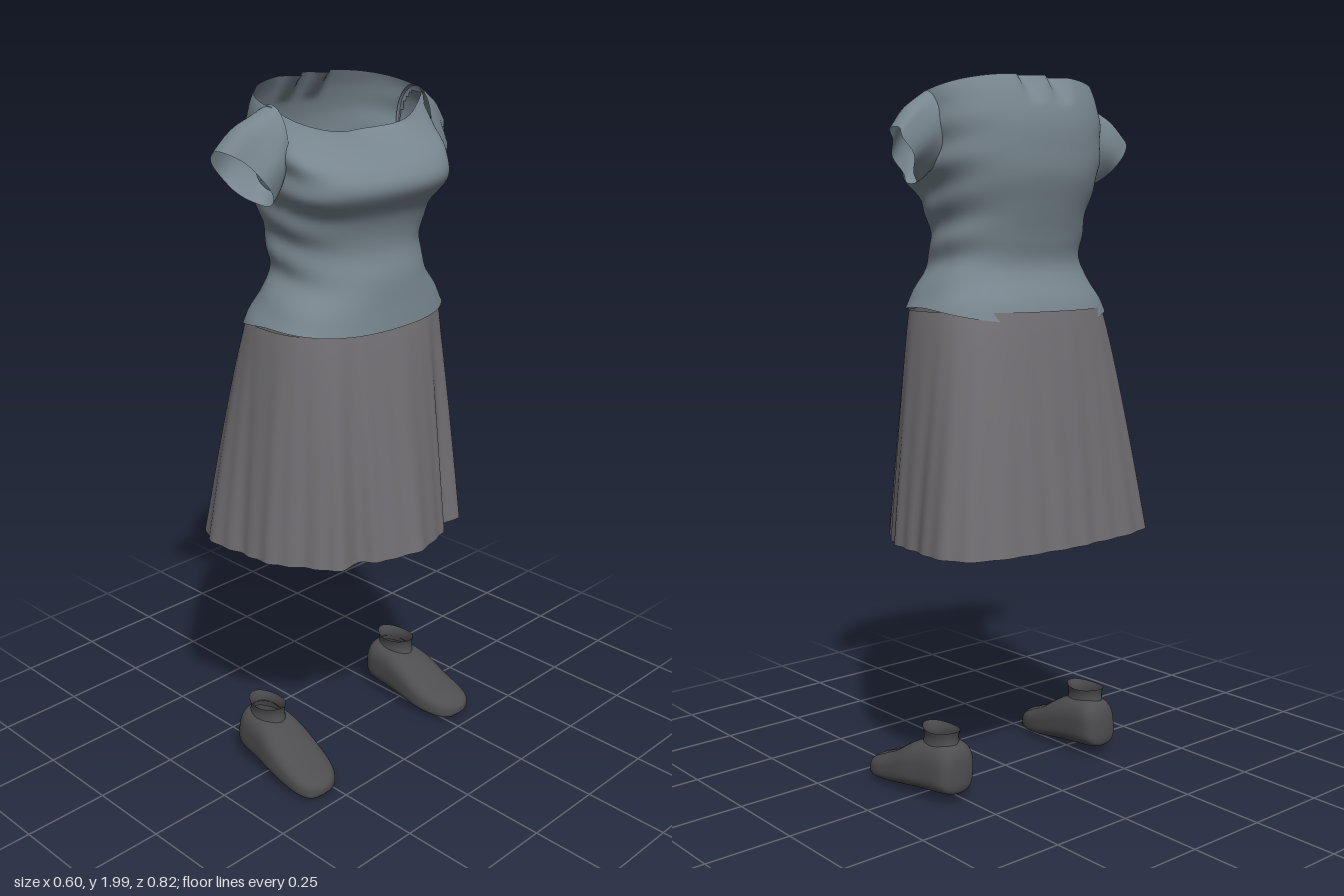
import * as THREE from 'three';

const mat = (name, color) => {
  const m = new THREE.MeshStandardMaterial({ color, side: THREE.DoubleSide });
  m.name = name;
  return m;
};

// Skins a list of closed rings; skip(centre) leaves out a quad to make a hole.
function loft(rings, skip) {
  const n = rings[0].length, pos = [], idx = [];
  rings.forEach(r => r.forEach(p => pos.push(p.x, p.y, p.z)));
  for (let i = 0; i < rings.length - 1; i++) {
    for (let j = 0; j < n; j++) {
      const k = (j + 1) % n, a = i * n + j, b = i * n + k, c = a + n, d = b + n;
      if (skip) {
        const mid = rings[i][j].clone().add(rings[i + 1][k]).multiplyScalar(0.5);
        if (skip(mid)) continue;
      }
      idx.push(a, c, b, b, c, d);
    }
  }
  const g = new THREE.BufferGeometry();
  g.setAttribute('position', new THREE.Float32BufferAttribute(pos, 3));
  g.setIndex(idx);
  g.computeVertexNormals();
  return g;
}

// Smoothly resamples a table of section rows to count + 1 rows.
function resample(rows, count) {
  return Array.from({ length: count + 1 }, (_, i) => {
    const f = i / count * (rows.length - 1), k = Math.min(Math.floor(f), rows.length - 2), t = f - k;
    const at = q => rows[Math.max(0, Math.min(rows.length - 1, q))];
    return rows[k].map((v, c) => {
      const p0 = at(k - 1)[c], p2 = at(k + 1)[c], p3 = at(k + 2)[c];
      return v + 0.5 * t * (p2 - p0 + t * (2 * p0 - 5 * v + 4 * p2 - p3 + t * (3 * (v - p2) + p3 - p0)));
    });
  });
}

const ring = (n, fn) => Array.from({ length: n }, (_, j) => fn(j / n * Math.PI * 2));
const pw = (v, e) => Math.sign(v) * Math.pow(Math.abs(v), e);

// Bodice: front y, side y, back y, front x, back x, half width, front roundness
const BODICE = [
  [1.355, 1.375, 1.335, 0.203, -0.215, 0.298, 0.75],
  [1.410, 1.410, 1.390, 0.196, -0.198, 0.278, 0.80],
  [1.490, 1.490, 1.480, 0.186, -0.155, 0.230, 0.92],
  [1.570, 1.570, 1.560, 0.165, -0.165, 0.228, 0.95],
  [1.655, 1.650, 1.650, 0.180, -0.188, 0.240, 0.75],
  [1.735, 1.730, 1.730, 0.228, -0.208, 0.268, 0.52],
  [1.790, 1.795, 1.800, 0.200, -0.210, 0.280, 0.52],
  [1.830, 1.855, 1.870, 0.132, -0.205, 0.286, 0.58],
  [1.858, 1.910, 1.940, 0.085, -0.185, 0.286, 0.62],
  [1.870, 1.950, 1.995, 0.062, -0.160, 0.276, 0.62],
];

function bodice() {
  const rings = resample(BODICE, 63).map(([yf, ys, yb, xf, xb, w, e], i) => ring(160, a => {
    const c = Math.cos(a), s = Math.sin(a), up = i / 63, neck = Math.max(0, (up - 0.72) / 0.28);
    const y = c > 0 ? ys + (yf - ys) * Math.pow(c, 1.4) : ys - (yb - ys) * c;
    let x = c > 0 ? xf * pw(c, e) : -xb * pw(c, 0.7 + 0.15 * up);
    let z = w * pw(s, 0.85);
    // slanting creases at the sides of the waist
    z += Math.sign(s) * Math.sin(up * Math.PI) * s * s * 0.006 * Math.sin(y * 62 + x * 14);
    // the front neckline stands out on either side of its middle
    if (c > 0) x += 0.025 * neck * Math.sin(Math.min(1, Math.abs(z) / 0.26) * Math.PI) ** 2;
    // gathered folds at the back of the collar
    else if (Math.abs(z) < 0.1) {
      x += 0.045 * Math.max(0, (up - 0.85) / 0.15) * Math.sin(z * Math.PI / 0.1) ** 2;
    }
    return new THREE.Vector3(x, y, z);
  }));
  const armhole = p => Math.abs(p.z) > 0.2 && (p.x / 0.06) ** 2 + ((p.y - 1.845) / 0.088) ** 2 < 1;
  return loft(rings, armhole);
}

// Sleeve rings: top x, y, z, bottom x, y, z, half depth, outward skew towards the back
const SLEEVE = [
  [0.000, 1.953, 0.268, 0.00, 1.742, 0.268, 0.066, 0.000],
  [-0.010, 1.930, 0.310, 0.01, 1.730, 0.280, 0.068, 0.004],
  [-0.025, 1.900, 0.360, 0.015, 1.715, 0.295, 0.068, 0.010],
  [-0.035, 1.848, 0.410, 0.02, 1.705, 0.312, 0.063, 0.018],
];

function sleeve(side) {
  return loft(resample(SLEEVE, 12).map(([tx, ty, tz, bx, by, bz, r, skew], i) => ring(40, a => {
    const k = (1 - Math.cos(a)) / 2, s = Math.sin(a), ruffle = 0.004 * (i / 12) * Math.sin(a * 5);
    return new THREE.Vector3(
      tx + (bx - tx) * k + r * s + ruffle,
      ty + (by - ty) * k,
      side * (tz + (bz - tz) * k - skew * s + ruffle));
  })));
}

// Half outline of the skirt hem, front to back
const HEM = [[0.3, 0], [0.275, 0.1], [0.265, 0.14], [0.23, 0.165], [0.225, 0.25], [0.15, 0.3], [0.06, 0.355],
  [-0.06, 0.368], [-0.15, 0.378], [-0.24, 0.335], [-0.28, 0.22], [-0.29, 0.1], [-0.298, 0]];

function skirt() {
  const v = ([x, z]) => new THREE.Vector3(x, 0, z);
  const outline = [...HEM.map(v), ...HEM.slice(1, -1).reverse().map(([x, z]) => v([x, -z]))];
  const hem = new THREE.CatmullRomCurve3(outline, true).getPoints(224).slice(0, 224);
  const rings = [];
  for (let i = 0; i <= 20; i++) {
    const t = i / 20, f = Math.pow(t, 0.85);
    rings.push(hem.map(p => {
      const a = Math.atan2(p.z / 0.38, p.x / 0.3), c = Math.cos(a), s = Math.sin(a);
      const wx = (c > 0 ? 0.195 : 0.213) * pw(c, 0.78), wz = 0.289 * pw(s, 0.85);
      const pleat = 1 + 0.01 * t * Math.cos(a * 27) - 0.005 * t;
      return new THREE.Vector3((wx + (p.x - wx) * f) * pleat, 1.365 - 0.645 * t, (wz + (p.z - wz) * f) * pleat);
    }));
  }
  return loft(rings);
}

// Shoe sections from heel to toe: x, bottom, top, centre z at the sole, half width
const SHOE = [
  [-0.138, 0.06, 0.09, 0.280, 0.012], [-0.130, 0.035, 0.145, 0.280, 0.045], [-0.100, 0.028, 0.172, 0.280, 0.063],
  [-0.030, 0.022, 0.170, 0.283, 0.071], [0.030, 0.016, 0.150, 0.286, 0.078], [0.100, 0.008, 0.108, 0.288, 0.080],
  [0.160, 0.004, 0.080, 0.293, 0.073], [0.200, 0.005, 0.062, 0.297, 0.052], [0.219, 0.022, 0.042, 0.298, 0.015],
];

function shoe(side) {
  const rings = resample(SHOE, 48).map(([x, lo, hi, zc, w]) => ring(48, a => {
    const s = Math.sin(a), mid = lo + (hi - lo) * 0.4;
    const y = s < 0 ? mid + (mid - lo) * pw(s, 0.7) : mid + (hi - mid) * pw(s, 0.65);
    // the uppers lean inwards
    return new THREE.Vector3(x, y, side * (zc - 0.05 * Math.max(0, y - 0.05) + w * pw(Math.cos(a), 0.8)));
  }));
  // close the heel and the toe, leave the foot opening
  const tip = r => {
    const c = r.reduce((sum, p) => sum.add(p), new THREE.Vector3()).divideScalar(r.length);
    return r.map(() => c.clone());
  };
  const opening = p => p.y > 0.1 && ((p.x + 0.05) / 0.056) ** 2 + ((p.z * side - 0.28) / 0.037) ** 2 < 1;
  return loft([tip(rings[0]), ...rings, tip(rings[rings.length - 1])], opening);
}

function ankleCollar(side) {
  const rows = [[0.148, 0.066, 0.047], [0.168, 0.060, 0.042], [0.186, 0.060, 0.041], [0.203, 0.065, 0.045]];
  return loft(resample(rows, 9).map(([y, rx, rz]) => ring(32, a =>
    new THREE.Vector3(-0.05 + rx * Math.cos(a), y + 0.003 * Math.cos(2 * a), side * (0.28 + rz * Math.sin(a))))));
}

export function createModel() {
  const shirtMat = mat('blue grey cloth', 0x78868f);
  const skirtMat = mat('warm grey cloth', 0x727074);
  const shoeMat = mat('dark grey leather', 0x4e4d4f);
  const model = new THREE.Group();
  model.name = 'outfit';
  const add = (name, geometry, material) => {
    const m = new THREE.Mesh(geometry, material);
    m.name = name;
    model.add(m);
  };

  add('bodice', bodice(), shirtMat);
  add('skirt', skirt(), skirtMat);
  // the outfit faces +x, so its pairs lie along z
  for (const [label, side] of [['right', 1], ['left', -1]]) {
    add(label + 'Sleeve', sleeve(side), shirtMat);
    add(label + 'Shoe', shoe(side), shoeMat);
    add(label + 'AnkleCollar', ankleCollar(side), shoeMat);
  }
  return model;
}
